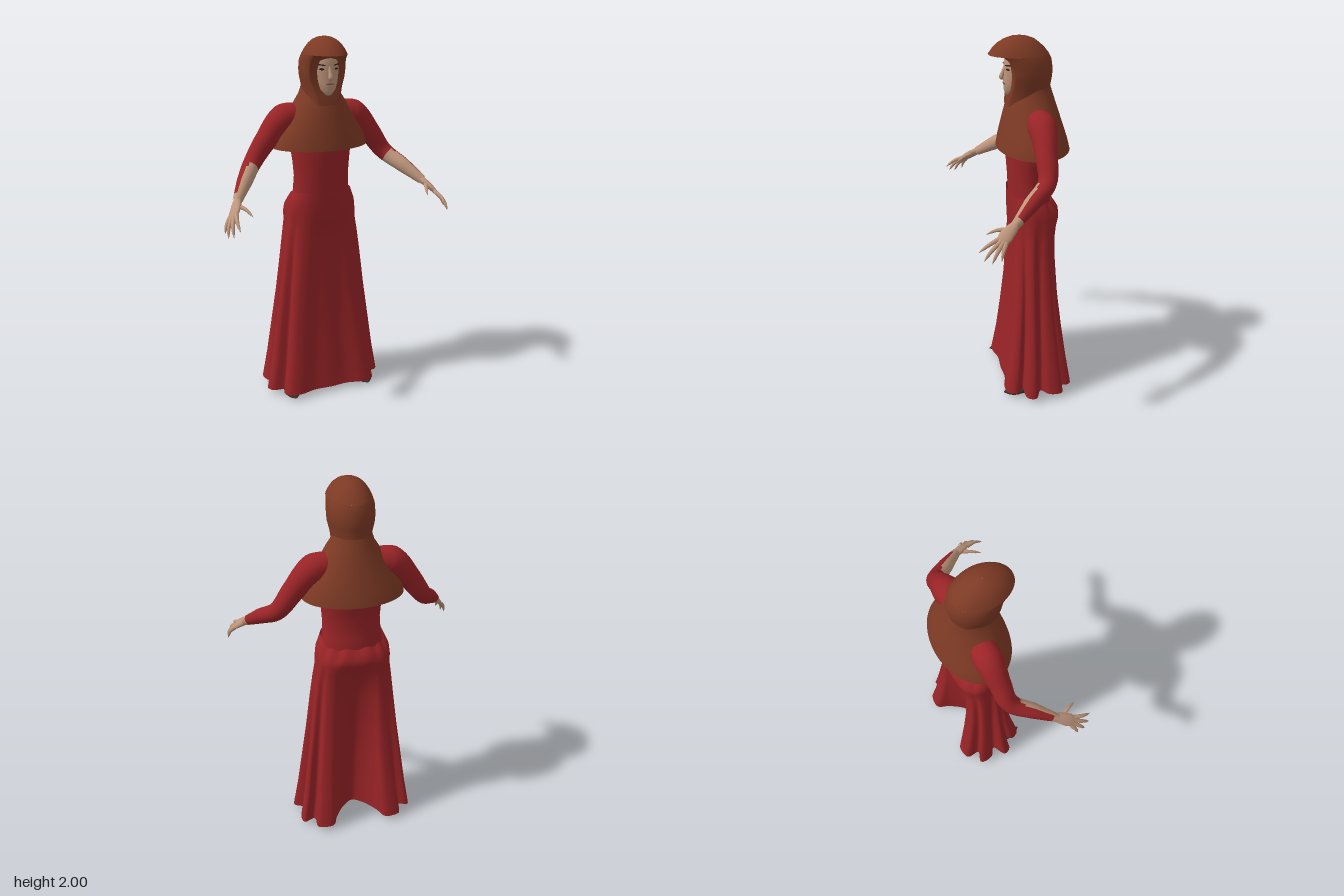
import * as THREE from 'three';

const paint = (name, color, side = THREE.FrontSide) => {
  const m = new THREE.MeshStandardMaterial({ color, side });
  m.name = name;
  return m;
};

// Surface through rings of points; pick(i, j) chooses the material slot of a quad
function loft(rows, closed = true, pick = () => 0) {
  const n = rows[0].length, slots = [[], []], cols = closed ? n : n - 1;
  for (let i = 0; i < rows.length - 1; i++) {
    for (let j = 0; j < cols; j++) {
      const k = (j + 1) % n;
      const a = i * n + j, b = i * n + k, c = a + n, d = b + n;
      slots[pick(i, j)].push(a, b, d, a, d, c);
    }
  }
  const g = new THREE.BufferGeometry();
  g.setAttribute('position', new THREE.Float32BufferAttribute(rows.flat(2), 3));
  g.setIndex([...slots[0], ...slots[1]]);
  if (slots[1].length) {
    g.addGroup(0, slots[0].length, 0);
    g.addGroup(slots[0].length, slots[1].length, 1);
  }
  g.computeVertexNormals();
  return g;
}

// Horizontal oval, starting at the front and turning towards +x; gap leaves it open at the front
function oval([y, hw, zf, zb, gap = 0], seg = 40) {
  const out = [], a0 = THREE.MathUtils.degToRad(gap);
  const count = gap ? seg + 1 : seg;
  for (let j = 0; j < count; j++) {
    const a = a0 + (j / seg) * (2 * Math.PI - 2 * a0);
    out.push([hw * Math.sin(a), y, (zf + zb) / 2 + ((zf - zb) / 2) * Math.cos(a)]);
  }
  return out;
}

// Tapered limb along a curve; radii are [across, thick] pairs spread along it
function limb(points, radii, ref, seg = 12, steps = 12, pick) {
  const curve = new THREE.CatmullRomCurve3(points.map(p => new THREE.Vector3(...p)));
  const rows = [], dirs = [];
  for (let i = 0; i <= steps; i++) {
    const t = i / steps, f = t * (radii.length - 1), k = Math.min(Math.floor(f), radii.length - 2);
    const r = [0, 1].map(c => THREE.MathUtils.lerp(radii[k][c], radii[k + 1][c], f - k));
    const p = curve.getPoint(t), T = curve.getTangent(t);
    const U = new THREE.Vector3(...ref).addScaledVector(T, -T.dot(new THREE.Vector3(...ref))).normalize();
    const V = new THREE.Vector3().crossVectors(T, U);
    const row = [], dir = [];
    for (let j = 0; j < seg; j++) {
      const a = (j / seg) * 2 * Math.PI;
      const d = U.clone().multiplyScalar(r[0] * Math.cos(a)).addScaledVector(V, r[1] * Math.sin(a));
      row.push(p.clone().add(d).toArray());
      dir.push(d.normalize());
    }
    rows.push(row);
    dirs.push(dir);
  }
  return loft(rows, true, pick && ((i, j) => pick(i / steps, dirs[i][j])));
}

// Copy reflected to the other side, with the corner order turned round
function mirrored(g) {
  const m = g.clone().scale(-1, 1, 1), ix = m.index;
  for (let i = 0; i < ix.count; i += 3) {
    const b = ix.getX(i + 1);
    ix.setX(i + 1, ix.getX(i + 2));
    ix.setX(i + 2, b);
  }
  return m;
}

export function createModel() {
  const model = new THREE.Group();
  const red = paint('red cloth', 0x9a2427, THREE.DoubleSide);
  const brown = paint('brown cloth', 0x7d3a24, THREE.DoubleSide);
  const skin = paint('skin', 0xbd957b);
  const dark = paint('dark hair', 0x2e211b);
  const lip = paint('lips', 0x8a5548);
  const leather = paint('dark leather', 0x3e3327);

  const add = (name, geo, mat) => {
    const m = new THREE.Mesh(geo, mat);
    m.name = name;
    model.add(m);
    return m;
  };
  const pair = (name, geo, mat) => {
    add('left ' + name, geo, mat);
    add('right ' + name, mirrored(geo), mat);
  };

  // Skirt: a smooth oval at the waist turning into a pleated hem, hollow at the back
  const half = [[0, .08], [.1, .075], [.19, .095], [.25, .085], [.275, .04], [.255, 0], [.32, -.01],
    [.34, -.06], [.27, -.1], [.315, -.14], [.31, -.22], [.25, -.2], [.24, -.28], [.16, -.29],
    [.12, -.22], [.06, -.14], [0, -.1]];
  const outline = [...half, ...half.slice(1, -1).reverse().map(([x, z]) => [-x, z])];
  const hem = new THREE.CatmullRomCurve3(
    outline.map(([x, z]) => new THREE.Vector3(x / .34, 0, (z + .1) / .19)), true);
  const soft = v => Math.sign(v) * Math.abs(v) ** .8;
  const skirtRows = [
    [.03, .34, .09, -.29, 1], [.2, .312, .065, -.265, .92], [.4, .285, .045, -.24, .8],
    [.6, .257, .03, -.22, .62], [.8, .232, .025, -.21, .42], [.93, .215, .02, -.21, .25],
    [1.0, .203, .025, -.222, .12], [1.06, .201, .03, -.235, .04], [1.11, .195, .032, -.232, 0],
    [1.15, .178, .033, -.215, 0], [1.18, .165, .033, -.195, 0]];
  add('skirt', loft(skirtRows.map(([y, hw, zf, zb, fold]) => {
    const row = [], n = 128;
    for (let j = 0; j < n; j++) {
      const a = (j / n) * 2 * Math.PI, p = hem.getPoint(j / n);
      const x = THREE.MathUtils.lerp(soft(Math.sin(a)), p.x, fold);
      const z = THREE.MathUtils.lerp(soft(Math.cos(a)), p.z, fold);
      const back = THREE.MathUtils.smoothstep(-Math.cos(a), -.1, .7);
      const dip = (.045 + .006 * Math.cos(12 * a)) * back * THREE.MathUtils.smoothstep(y, 1.0, 1.18);
      row.push([hw * x, y - dip, (zf + zb) / 2 + ((zf - zb) / 2) * z]);
    }
    return row;
  })), red);

  // Bodice
  add('bodice', loft([[1.02, .17, .01, -.19], [1.1, .172, .02, -.198], [1.18, .158, .028, -.185],
    [1.26, .154, .032, -.175], [1.34, .16, .038, -.185], [1.42, .17, .042, -.2],
    [1.52, .17, .04, -.2], [1.6, .13, .02, -.19], [1.66, .06, -.01, -.14]].map(r => oval(r))), red);

  // Shoulder cape and hood
  add('cape', loft([[1.42, .268, .09, -.29], [1.48, .25, .08, -.275], [1.55, .203, .066, -.252],
    [1.6, .172, .055, -.236], [1.66, .138, .04, -.216], [1.7, .112, .024, -.203],
    [1.74, .098, 0, -.19]].map(r => oval(r))), brown);
  add('neck cloth', loft([[1.6, .09, .03, -.16], [1.68, .065, .022, -.15],
    [1.74, .06, .01, -.15]].map(r => oval(r))), brown);
  add('hood crown', loft([[1.91, .112, .13, -.178], [1.935, .1, .112, -.158], [1.96, .083, .088, -.132],
    [1.98, .062, .055, -.105], [1.993, .037, .02, -.07], [2, .002, -.02, -.024]].map(r => oval(r))), brown);
  add('hood sides', loft([[1.65, .1, .055, -.2, 26], [1.69, .098, .06, -.195, 36],
    [1.74, .104, .062, -.188, 46], [1.79, .116, .075, -.197, 53], [1.83, .12, .08, -.2, 54],
    [1.88, .118, .09, -.193, 54], [1.91, .112, .13, -.178, 54]].map(r => oval(r))), brown);

  // Head and face
  add('head', loft([[1.7, .005, .025, 0], [1.703, .03, .042, -.1], [1.73, .058, .052, -.13],
    [1.77, .075, .053, -.15], [1.82, .085, .051, -.15], [1.86, .088, .05, -.15], [1.9, .087, .045, -.15],
    [1.94, .07, .025, -.12], [1.96, .01, -.03, -.06]].map(r => oval(r))), skin);
  add('nose', limb([[0, 1.85, .043], [0, 1.815, .056], [0, 1.792, .064], [0, 1.782, .05]],
    [[.009, .008], [.011, .01], [.015, .011], [.004, .004]], [1, 0, 0]), skin);
  const eye = new THREE.SphereGeometry(1, 12, 8).scale(.014, .0055, .004).rotateY(.5).translate(.04, 1.838, .038);
  pair('eye', eye, dark);
  const brow = new THREE.BoxGeometry(.036, .006, .008).rotateZ(.12).rotateY(.5).translate(.04, 1.859, .038);
  pair('eyebrow', brow, dark);
  add('mouth', new THREE.BoxGeometry(.04, .006, .008).translate(0, 1.762, .05), lip);

  // Arms: the sleeve covers the outside of the forearm, the inside is bare
  const inner = new THREE.Vector3(-.7, .1, .7);
  const arm = limb([[.1, 1.59, -.1], [.2, 1.575, -.105], [.3, 1.47, -.1], [.385, 1.355, -.085],
    [.46, 1.285, .01], [.533, 1.213, .108]],
    [[.06, .06], [.074, .076], [.056, .06], [.047, .048], [.04, .041], [.022, .025]], [0, 0, 1], 24, 40,
    (t, d) => (t > .94 || (t > .64 && d.dot(inner) > .15 - (t - .64) * .6) ? 1 : 0));
  pair('arm', arm, [red, skin]);

  // Hands
  const across = [-.37, .24, .9];
  pair('palm', limb([[.523, 1.222, .095], [.552, 1.19, .142], [.576, 1.16, .178], [.59, 1.142, .2]],
    [[.02, .02], [.031, .018], [.035, .015], [.026, .009], [.002, .002]], across, 16), skin);
  const fingers = [
    ['thumb', [.54, 1.198, .13], [.512, 1.19, .188], [.492, 1.163, .24]],
    ['index finger', [.562, 1.168, .19], [.575, 1.145, .245], [.574, 1.112, .29]],
    ['middle finger', [.575, 1.16, .185], [.597, 1.12, .238], [.602, 1.078, .27]],
    ['ring finger', [.582, 1.155, .175], [.611, 1.112, .212], [.62, 1.068, .235]],
    ['little finger', [.585, 1.155, .16], [.613, 1.12, .18], [.624, 1.08, .19]]];
  for (const [name, ...path] of fingers) {
    pair(name, limb(path, [[.012, .012], [.011, .011], [.009, .009], [.007, .007], [.001, .001]], across, 10), skin);
  }

  // Shoes with ankles
  const shoe = limb([[.21, .04, -.165], [.213, .045, -.1], [.22, .035, 0], [.225, .027, .06], [.226, .022, .105]],
    [[.004, .004], [.034, .04], [.036, .036], [.044, .028], [.046, .022], [.03, .016], [.002, .002]], [1, 0, 0], 16, 24);
  shoe.translate(0, -.004, 0);
  pair('shoe', shoe, leather);
  pair('ankle', limb([[.21, .04, -.11], [.2, .12, -.11], [.18, .25, -.1]],
    [[.034, .034], [.033, .033], [.04, .04]], [0, 0, 1]), leather);

  return model;
}
